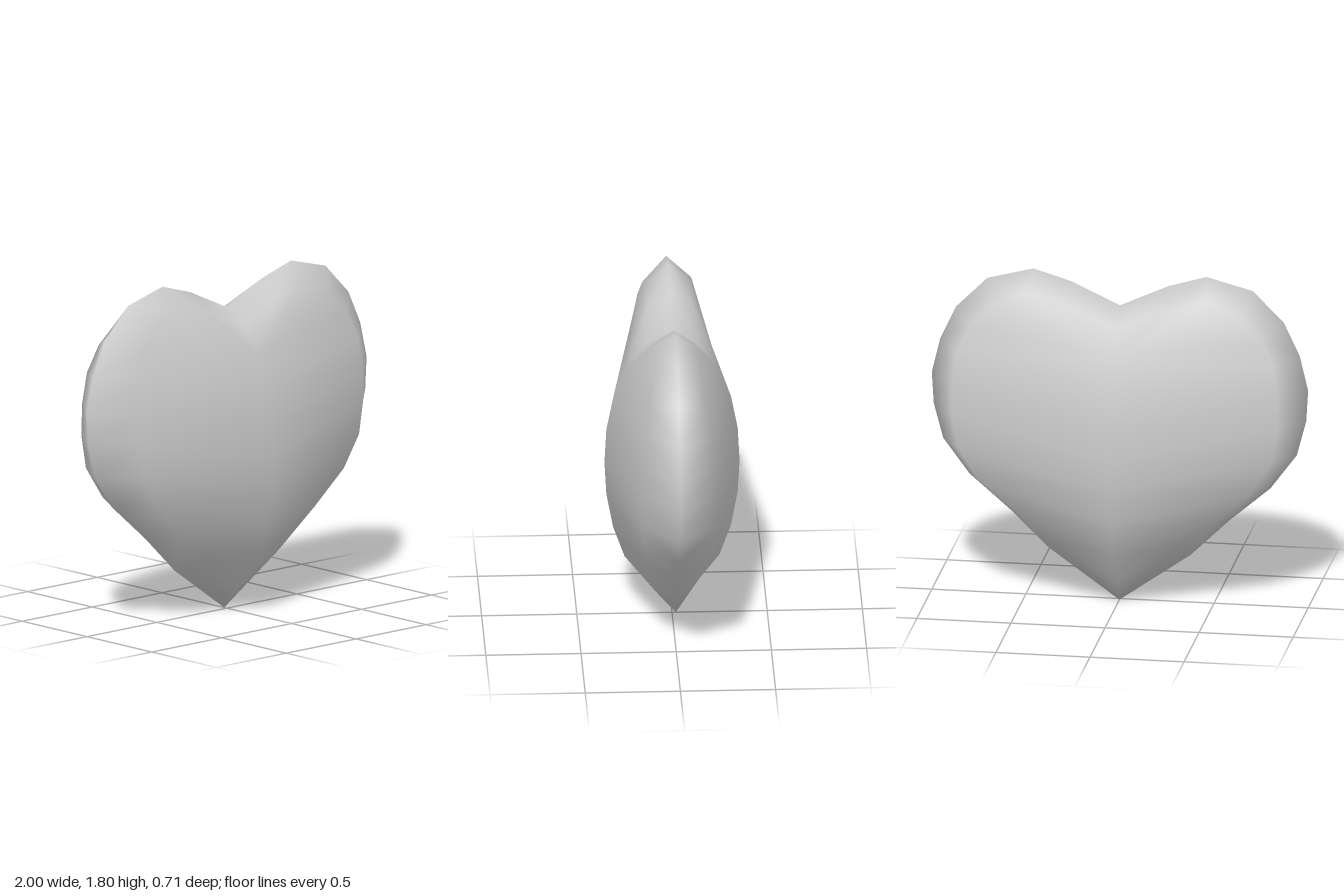
import * as THREE from 'three';
import { mergeVertices } from 'three/addons/utils/BufferGeometryUtils.js';

// Rim of the left half, tip to cleft: x, y
const RIM = [[0, 0], [0.375, 0.26], [0.58, 0.46], [0.8, 0.65], [0.94, 0.84], [0.99, 1.03], [1, 1.2],
  [0.955, 1.39], [0.87, 1.57], [0.705, 1.735], [0.46, 1.8], [0.26, 1.74], [0, 1.62]];
// Centre ridge: y, depth
const RIDGE = [[0.12, 0.085], [0.33, 0.25], [0.5, 0.31], [0.69, 0.345], [0.87, 0.355], [1.06, 0.345],
  [1.24, 0.31], [1.4, 0.245], [1.54, 0.14]];
// Shoulder between rim and ridge (one per inner rim point): x, y, depth
const SHOULDER = [[0.28, 0.33, 0.13], [0.48, 0.5, 0.16], [0.67, 0.68, 0.18], [0.77, 0.85, 0.19],
  [0.8, 1.03, 0.19], [0.8, 1.2, 0.185], [0.78, 1.37, 0.17], [0.72, 1.51, 0.15], [0.61, 1.63, 0.13],
  [0.44, 1.7, 0.11], [0.25, 1.65, 0.12]];
// Ridge point that each shoulder point runs to
const LINK = [0, 1, 2, 3, 4, 5, 6, 7, 7, 7, 7, 8, 8];

export function createModel() {
  const positions = [];

  // One quarter of the heart: sx picks the side, sz the front or back
  function addQuarter(sx, sz) {
    const widen = sz < 0 ? 1.08 : 1; // the back face is slightly broader
    const rim = RIM.map(([x, y], i) => [sx * x, y, i === 0 ? -0.02 : 0]);
    const ridge = RIDGE.map(([y, z]) => [0, y, sz * z]);
    const shoulder = [ridge[0],
      ...SHOULDER.map(([x, y, z]) => [sx * x * widen, y, sz * z]), ridge[8]];
    const tri = (a, b, c) => {
      if (a === b || b === c || a === c) return;
      positions.push(...(sx * sz > 0 ? [a, b, c] : [a, c, b]).flat());
    };
    for (let i = 0; i < RIM.length - 1; i++) {
      // bevel from rim to shoulder
      tri(rim[i], rim[i + 1], shoulder[i + 1]);
      tri(rim[i], shoulder[i + 1], shoulder[i]);
      // face from shoulder to ridge
      const a = ridge[LINK[i]], b = ridge[LINK[i + 1]];
      tri(shoulder[i], shoulder[i + 1], a);
      tri(a, shoulder[i + 1], b);
    }
  }
  for (const sx of [1, -1]) for (const sz of [1, -1]) addQuarter(sx, sz);

  // Weld the quarters so the shading runs smoothly over the whole body
  let geometry = new THREE.BufferGeometry();
  geometry.setAttribute('position', new THREE.Float32BufferAttribute(positions, 3));
  geometry = mergeVertices(geometry, 1e-4);
  geometry.computeVertexNormals();

  const heart = new THREE.Mesh(geometry, new THREE.MeshStandardMaterial({ color: 0xcccccc }));
  heart.name = 'heartBody';
  const group = new THREE.Group();
  group.name = 'heart';
  group.add(heart);
  return group;
}
